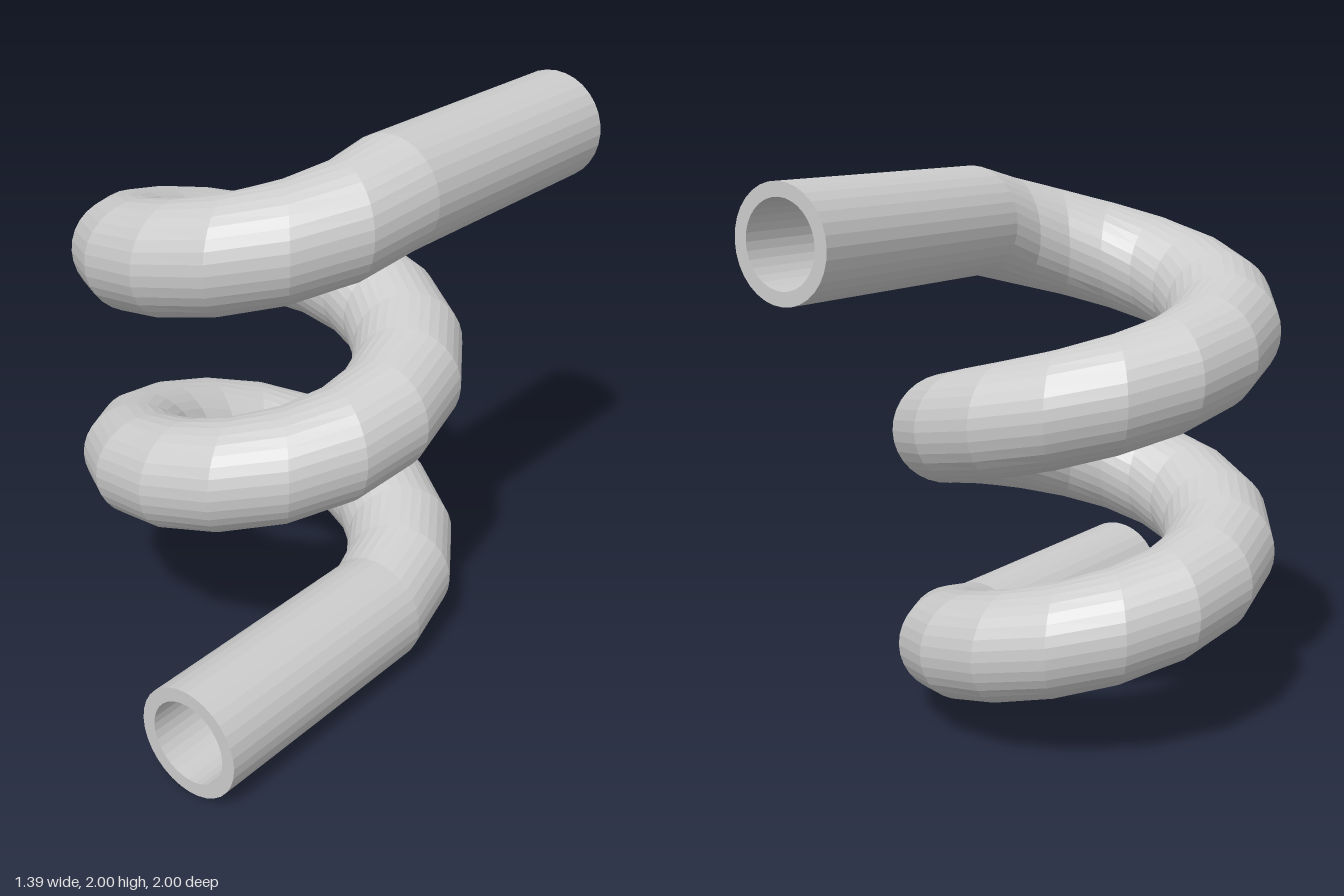
import * as THREE from 'three';

const SIDES = 32;      // around the pipe
const STEPS = 16;      // per turn of the coil
const TURNS = 2;
const COIL = 0.494;    // radius of the coil's centre line
const OUTER = 0.2;
const INNER = 0.15;
const PITCH = 0.8;

// Centre line stations: straight inlet, coil, straight outlet
function stations() {
  const list = [{ angle: 0, y: OUTER, z: 1 }];
  for (let i = 0; i <= STEPS * TURNS; i++) {
    list.push({ angle: (i / STEPS) * Math.PI * 2, y: OUTER + (PITCH * i) / STEPS, z: 0 });
  }
  list.push({ angle: 0, y: OUTER + PITCH * TURNS, z: -1 });
  return list;
}

// Pipe wall skinned over upright circular sections along the centre line
function wall(radius, inward) {
  const path = stations();
  const positions = [];
  const index = [];
  path.forEach(({ angle, y, z }, i) => {
    for (let j = 0; j < SIDES; j++) {
      const phi = (j / SIDES) * Math.PI * 2;
      const d = COIL + radius * Math.cos(phi);
      positions.push(d * Math.cos(angle), y + radius * Math.sin(phi), z - d * Math.sin(angle));
      if (i === path.length - 1) continue;
      const a = i * SIDES + j;
      const b = i * SIDES + ((j + 1) % SIDES);
      const c = a + SIDES;
      const e = b + SIDES;
      if (inward) index.push(a, b, c, b, e, c);
      else index.push(a, c, b, b, c, e);
    }
  });
  const geometry = new THREE.BufferGeometry();
  geometry.setAttribute('position', new THREE.Float32BufferAttribute(positions, 3));
  geometry.setIndex(index);
  geometry.computeVertexNormals();
  return geometry;
}

export function createModel() {
  const group = new THREE.Group();
  group.name = 'coiledPipe';
  const material = new THREE.MeshStandardMaterial({ color: 0xcccccc, flatShading: true });

  const add = (name, geometry) => {
    const mesh = new THREE.Mesh(geometry, material);
    mesh.name = name;
    group.add(mesh);
    return mesh;
  };

  add('outerWall', wall(OUTER, false));
  add('innerWall', wall(INNER, true));

  // Flat rims closing the wall thickness at both open ends
  const rim = new THREE.RingGeometry(INNER, OUTER, SIDES);
  add('inletRim', rim).position.set(COIL, OUTER, 1);
  const outlet = add('outletRim', rim);
  outlet.position.set(COIL, OUTER + PITCH * TURNS, -1);
  outlet.rotation.y = Math.PI;

  return group;
}
